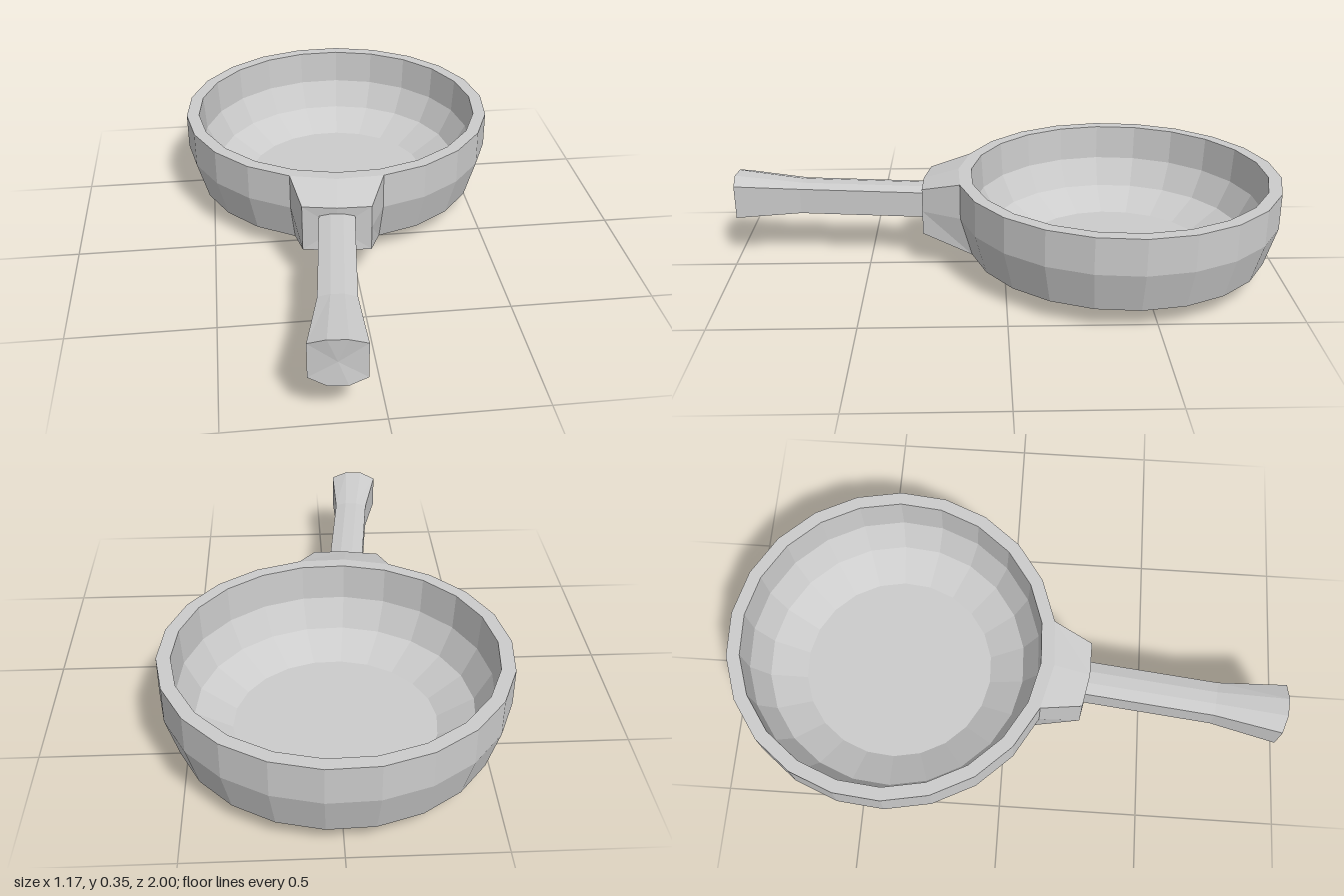
import * as THREE from 'three';

const material = new THREE.MeshStandardMaterial({ color: 0xcccccc, flatShading: true });
const SIDES = 22;
const STEP = (Math.PI * 2) / SIDES;

// Skins loops of points [x, y, z] running towards +z and caps the last loop.
function loft(name, loops) {
  const positions = [];
  const tri = (a, b, c) => positions.push(...a, ...b, ...c);
  const n = loops[0].length;
  for (let s = 0; s < loops.length - 1; s++) {
    for (let i = 0; i < n; i++) {
      const j = (i + 1) % n;
      tri(loops[s][i], loops[s][j], loops[s + 1][j]);
      tri(loops[s][i], loops[s + 1][j], loops[s + 1][i]);
    }
  }
  const end = loops[loops.length - 1];
  const centre = [0, 1, 2].map((k) => end.reduce((sum, p) => sum + p[k] / n, 0));
  for (let i = 0; i < n; i++) tri(centre, end[i], end[(i + 1) % n]);
  const geometry = new THREE.BufferGeometry();
  geometry.setAttribute('position', new THREE.Float32BufferAttribute(positions, 3));
  geometry.computeVertexNormals();
  const mesh = new THREE.Mesh(geometry, material);
  mesh.name = name;
  return mesh;
}

// Pan: one closed profile for the outside, rim and inside
function makePan() {
  const profile = [
    [0, 0], [0.385, 0], [0.543, 0.075], [0.585, 0.22], [0.585, 0.35],
    [0.538, 0.35], [0.53, 0.22], [0.475, 0.118], [0.35, 0.05], [0, 0.05],
  ].map(([r, y]) => new THREE.Vector2(r, y));
  const geometry = new THREE.LatheGeometry(profile, SIDES);
  // small lift of the base edge beneath the handle
  const p = geometry.attributes.position;
  for (const column of [0, SIDES]) p.setY(column * profile.length + 1, 0.02);
  const mesh = new THREE.Mesh(geometry, material);
  mesh.name = 'pan';
  return mesh;
}

// Socket: two wall panels drawn out into a smaller block
function makeSocket() {
  const loop = (spread, [lowR, lowY], [midR, midY], [topR, topY]) => {
    const at = (side, r, y) => [r * Math.sin(side * spread), y, r * Math.cos(side * spread)];
    return [
      at(-1, lowR, lowY), at(0, lowR, lowY), at(1, lowR, lowY), at(1, midR, midY),
      at(1, topR, topY), at(0, topR, topY), at(-1, topR, topY), at(-1, midR, midY),
    ];
  };
  return loft('handleSocket', [
    loop(STEP, [0.543, 0.075], [0.585, 0.22], [0.585, 0.35]),
    loop(0.168, [0.715, 0.138], [0.715, 0.225], [0.715, 0.31]),
  ]);
}

// Handle: eight-sided grip that flares towards a slightly domed end
function makeHandle() {
  const loop = (z, w, low, high, chamfer, bulge) => {
    const c = w * 0.35;
    return [
      [-c, low, z + bulge], [c, low, z + bulge], [w, low + chamfer, z], [w, high - chamfer, z],
      [c, high, z + bulge], [-c, high, z + bulge], [-w, high - chamfer, z], [-w, low + chamfer, z],
    ];
  };
  return loft('handle', [
    loop(0.69, 0.062, 0.168, 0.285, 0.011, 0),
    loop(1.17, 0.062, 0.168, 0.285, 0.011, 0),
    loop(1.41, 0.09, 0.141, 0.309, 0.022, 0.011),
  ]);
}

export function createModel() {
  const model = new THREE.Group();
  model.name = 'fryingPan';
  // the whole pan is turned slightly about its own centre
  const body = new THREE.Group();
  body.name = 'panBody';
  body.add(makePan(), makeSocket(), makeHandle());
  body.position.z = -0.416;
  body.rotation.y = -0.105;
  model.add(body);
  return model;
}
